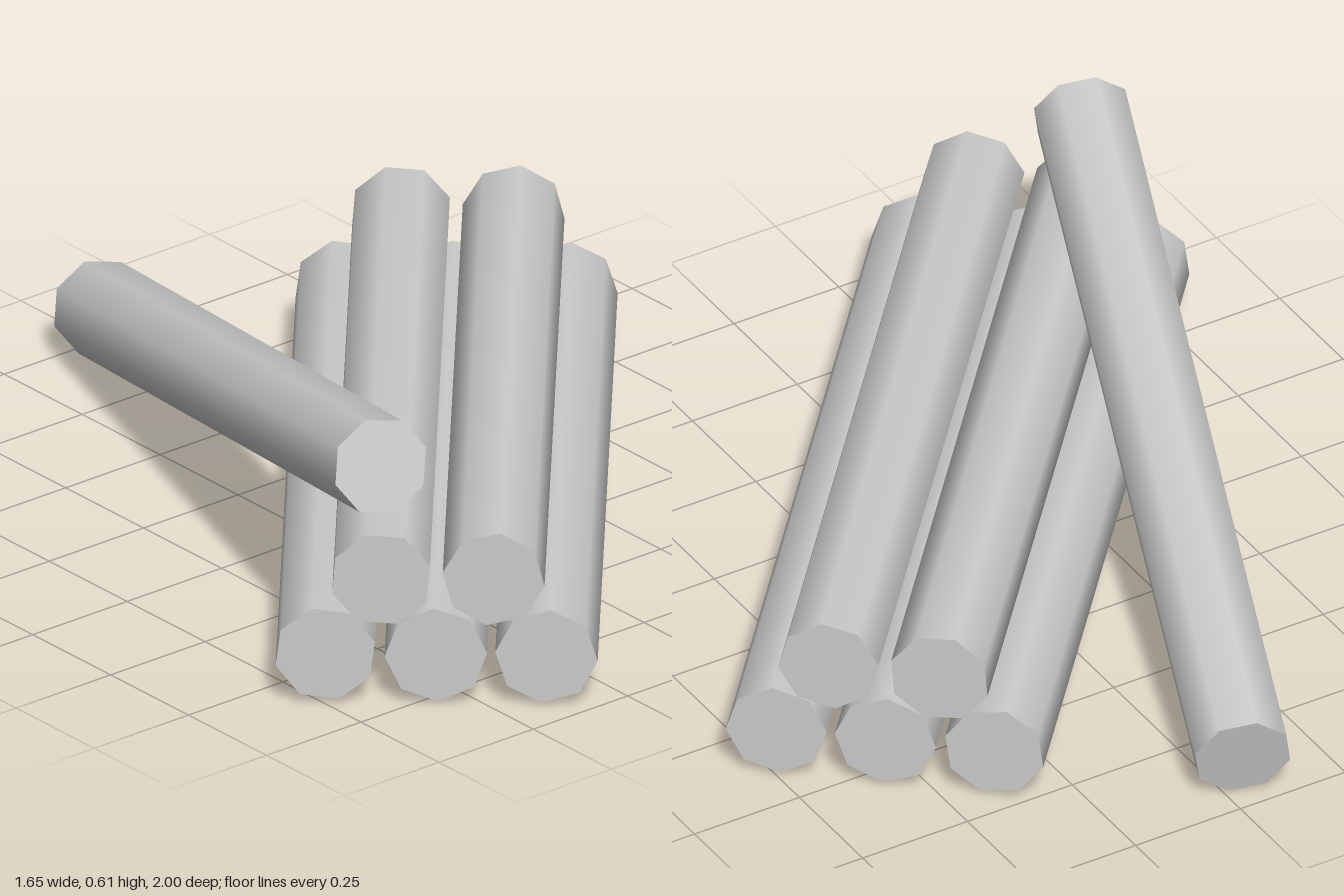
import * as THREE from 'three';

const LENGTH = 1.765;
const RADIUS = 0.105;

export function createModel() {
  const model = new THREE.Group();
  const material = new THREE.MeshStandardMaterial({ color: 0xcccccc });

  // Eight-sided log from its back end to its front end, rolled about its axis
  function addLog(name, back, front, rollDegrees, radius = RADIUS) {
    const geometry = new THREE.CylinderGeometry(radius, radius, back.distanceTo(front), 8);
    geometry.rotateX(Math.PI / 2);
    geometry.rotateZ(THREE.MathUtils.degToRad(rollDegrees));
    const log = new THREE.Mesh(geometry, material);
    log.name = name;
    log.position.addVectors(back, front).multiplyScalar(0.5);
    log.lookAt(front);
    model.add(log);
  }

  // Directions along and across the stack
  const along = new THREE.Vector3(-0.654, 0, 0.756);
  const across = new THREE.Vector3(0.756, 0, 0.654);

  // Stacked logs: offset across the stack, height, roll
  const stack = [
    ['bottomLogRight', -0.226, 0.117, 15],
    ['bottomLogMiddle', 0, 0.117, 3],
    ['bottomLogLeft', 0.226, 0.116, -5],
    ['topLogRight', -0.112, 0.286, 18],
    ['topLogLeft', 0.118, 0.289, -8],
  ];
  for (const [name, offset, height, roll] of stack) {
    const centre = new THREE.Vector3(0, height, 0.114).addScaledVector(across, offset);
    const back = centre.clone().addScaledVector(along, -LENGTH / 2);
    const front = centre.clone().addScaledVector(along, LENGTH / 2);
    addLog(name, back, front, roll);
  }

  // Loose log leaning over the stack
  addLog('leaningLog', new THREE.Vector3(-0.028, 0.103, -0.963),
    new THREE.Vector3(-0.625, 0.514, 0.662), 14, 0.103);

  return model;
}
